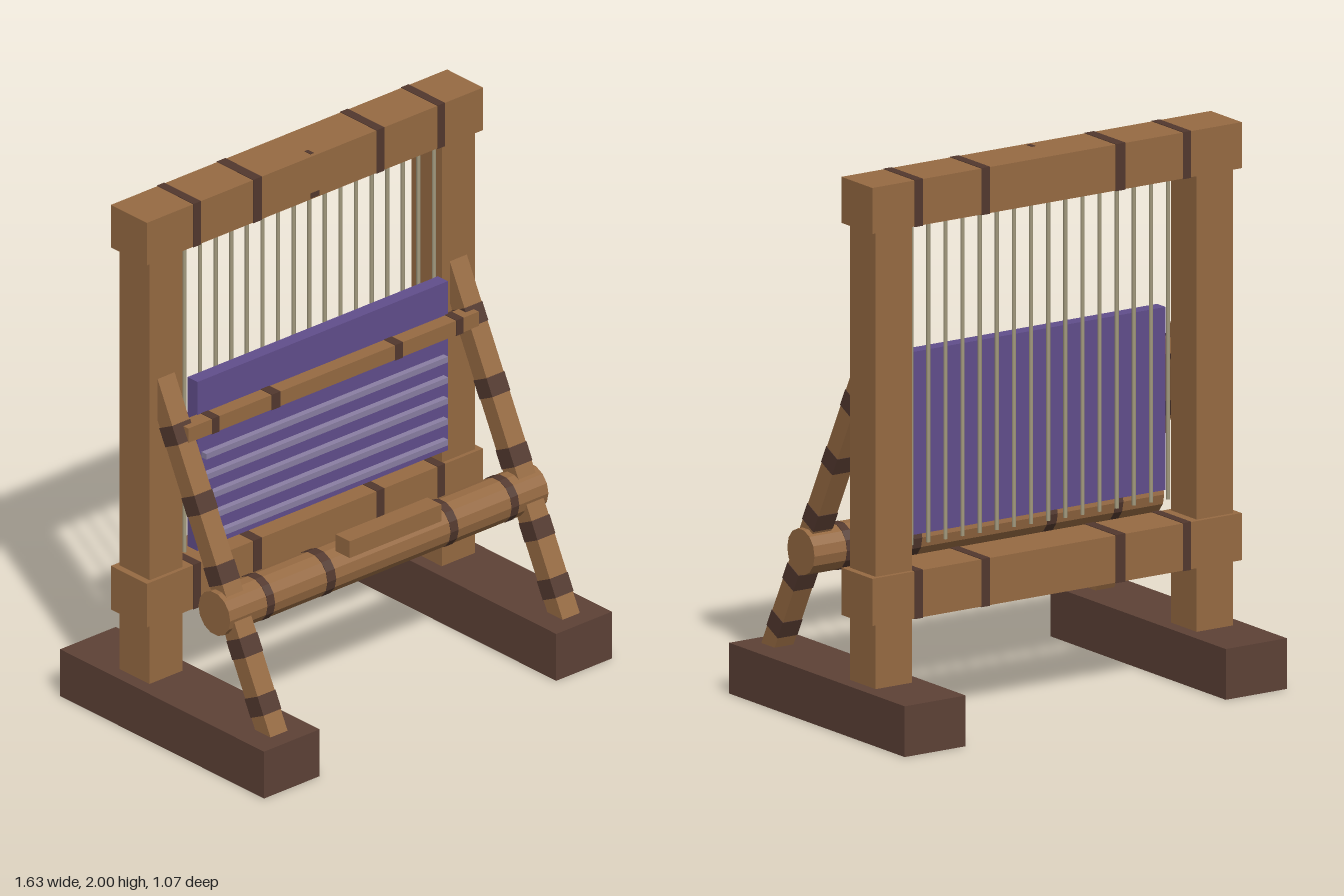
import * as THREE from 'three';

const mat = (name, color, flatShading = false) => {
  const m = new THREE.MeshStandardMaterial({ color, flatShading });
  m.name = name;
  return m;
};

export function createModel() {
  const wood = mat('wood', 0x966a42);
  const darkWood = mat('darkWood', 0x5d4136);
  const grain = mat('grain', 0x52382e);
  const cloth = mat('cloth', 0x614e8c);
  const weft = mat('weft', 0x8a7fa3);
  const thread = mat('thread', 0xa39a7e);

  const model = new THREE.Group();
  model.name = 'loom';

  const add = (name, geometry, material, x, y, z, parent = model) => {
    const mesh = new THREE.Mesh(geometry, material);
    mesh.name = name;
    mesh.position.set(x, y, z);
    parent.add(mesh);
    return mesh;
  };
  // Box given by its limits on each axis
  const box = (name, material, [x0, x1], [y0, y1], [z0, z1], parent) =>
    add(name, new THREE.BoxGeometry(x1 - x0, y1 - y0, z1 - z0), material,
      (x0 + x1) / 2, (y0 + y1) / 2, (z0 + z1) / 2, parent);

  // Dark grain bands shared by every crosswise timber: [x, width]
  const bands = [[-0.553, 0.034], [-0.27, 0.04], [0.305, 0.036], [0.59, 0.034]];
  const e = 0.002;
  const bandedBeam = (name, halfX, [y0, y1], [z0, z1]) => {
    box(name, wood, [-halfX, halfX], [y0, y1], [z0, z1]);
    for (const [x, w] of bands) {
      box(name + 'Band', grain, [x - w / 2, x + w / 2], [y0 - e, y1 + e], [z0 - e, z1 + e]);
    }
  };

  // Crosswise beams
  bandedBeam('topBeam', 0.787, [1.832, 1.998], [-0.298, -0.11]);
  bandedBeam('lowerBeam', 0.787, [0.418, 0.588], [-0.298, -0.11]);
  bandedBeam('beaterBar', 0.68, [1.138, 1.195], [-0.075, -0.013]);
  box('topBeamKnot', grain, [-0.02, 0.02], [1.836, 1.856], [-0.11, -0.108]);
  box('topBeamKnot', grain, [-0.008, 0.008], [1.998, 2], [-0.155, -0.125]);

  // Side frames: foot, post and sloping brace
  const slope = Math.atan2(0.587, 1.171);
  const braceZ = (y) => 0.425 - (y - 0.185) * Math.tan(slope);
  for (const s of [-1, 1]) {
    const x = s * 0.684;
    add('foot', new THREE.BoxGeometry(0.26, 0.183, 1.066), darkWood, x, 0.0915, 0);
    add('post', new THREE.BoxGeometry(0.155, 1.66, 0.157), wood, x, 1.01, -0.203);

    const low = 0.14, high = 1.37, mid = (low + high) / 2;
    const brace = new THREE.Group();
    brace.name = 'brace';
    brace.position.set(x, mid, braceZ(mid));
    brace.rotation.x = -slope;
    model.add(brace);
    add('braceTimber', new THREE.BoxGeometry(0.08, (high - low) / Math.cos(slope), 0.072), wood, 0, 0, 0, brace);
    for (const y of [0.27, 0.46, 0.7, 0.93, 1.16]) {
      add('braceBand', new THREE.BoxGeometry(0.084, 0.07, 0.076), grain, 0, (y - mid) / Math.cos(slope), 0, brace);
    }
  }

  // Faceted cloth roller with its grain bands
  const woodFacet = wood.clone();
  woodFacet.flatShading = true;
  const grainFacet = grain.clone();
  grainFacet.flatShading = true;
  const roll = (name, material, r, length, x) => {
    add(name, new THREE.CylinderGeometry(r, r, length, 14), material, x, 0.573, 0.196).rotation.z = Math.PI / 2;
  };
  roll('roller', woodFacet, 0.083, 1.49, 0);
  for (const [x, w] of bands) roll('rollerBand', grainFacet, 0.085, w, x);

  // Shuttle above the roller
  box('shuttle', wood, [-0.215, 0.215], [0.655, 0.72], [0.238, 0.312]);

  // Woven cloth with raised weft rows
  box('wovenCloth', cloth, [-0.586, 0.586], [0.664, 1.324], [-0.122, -0.07]);
  for (let i = 0; i < 5; i++) {
    const y = 0.71 + i * 0.081;
    box('weftRow', weft, [-0.566, 0.566], [y - 0.011, y + 0.011], [-0.07, -0.046]);
  }

  // Warp threads
  const warp = new THREE.CylinderGeometry(0.0075, 0.0075, 1.215, 8);
  for (let i = 0; i < 17; i++) {
    add('warpThread', warp, thread, -0.584 + i * 0.073, 1.2425, -0.14);
  }
  return model;
}
